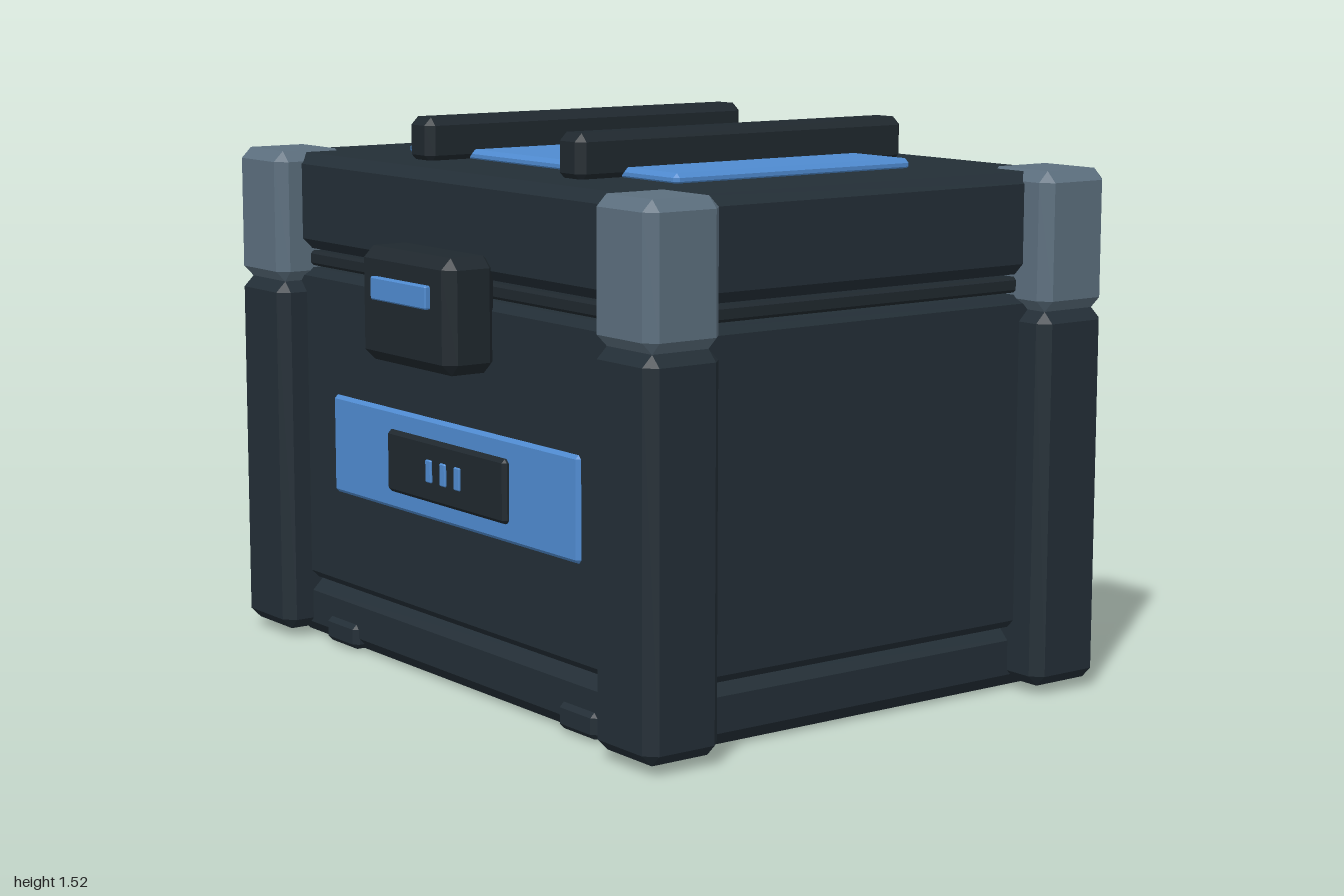
import * as THREE from 'three';
import { ConvexGeometry } from 'three/addons/geometries/ConvexGeometry.js';

const mat = (name, color) => {
  const m = new THREE.MeshStandardMaterial({ color });
  m.name = name;
  return m;
};

// Box with every edge cut at 45 degrees, given by its limits on each axis
function chamferBox([x0, x1], [y0, y1], [z0, z1], c) {
  const half = [(x1 - x0) / 2, (y1 - y0) / 2, (z1 - z0) / 2];
  const points = [];
  for (const sx of [-1, 1]) for (const sy of [-1, 1]) for (const sz of [-1, 1]) {
    for (let face = 0; face < 3; face++) {
      const [x, y, z] = half.map((h, axis) => (axis === face ? h : h - c));
      points.push(new THREE.Vector3(sx * x, sy * y, sz * z));
    }
  }
  const geometry = new ConvexGeometry(points);
  geometry.translate((x0 + x1) / 2, (y0 + y1) / 2, (z0 + z1) / 2);
  return geometry;
}

export function createModel() {
  const group = new THREE.Group();
  group.name = 'storageCrate';

  const shell = mat('darkSlate', 0x232e36);
  const trim = mat('charcoal', 0x1f282e);
  const steel = mat('blueGrey', 0x5c6f7e);
  const blue = mat('blue', 0x4f8bd0);

  const add = (name, material, x, y, z, c) => {
    const mesh = new THREE.Mesh(chamferBox(x, y, z, c), material);
    mesh.name = name;
    group.add(mesh);
  };
  // Same part on the left and the right
  const addPair = (name, material, [a, b], y, z, c) => {
    add(name + 'Left', material, [a, b], y, z, c);
    add(name + 'Right', material, [-b, -a], y, z, c);
  };

  // Stacked shell: base, body, seam strip and lid, with thin gaps at the seam
  add('base', shell, [-0.885, 0.885], [0.005, 0.18], [-0.715, 0.632], 0.04);
  add('body', shell, [-0.905, 0.905], [0.178, 1.081], [-0.725, 0.635], 0.022);
  add('seamStrip', trim, [-0.89, 0.89], [1.087, 1.129], [-0.71, 0.62], 0.008);
  add('lid', shell, [-0.915, 0.915], [1.136, 1.408], [-0.735, 0.645], 0.03);

  // Corner posts and lid corner guards
  for (const [side, z] of [['front', [0.488, 0.718]], ['back', [-0.8, -0.57]]]) {
    addPair(side + 'Post', shell, [0.755, 1], [0.028, 1.042], z, 0.03);
    addPair(side + 'CornerGuard', steel, [0.755, 1], [1.042, 1.414], z, 0.03);
  }

  // Small feet at the lower front and back edges
  addPair('frontFoot', shell, [0.5, 0.665], [0.012, 0.085], [0.56, 0.645], 0.015);
  addPair('backFoot', shell, [0.5, 0.665], [0.012, 0.085], [-0.73, -0.64], 0.015);

  // Lid plate and the rails across it
  add('lidPlate', blue, [-0.635, 0.635], [1.4, 1.434], [-0.422, 0.365], 0.012);
  addPair('lidRail', trim, [0.303, 0.413], [1.4, 1.526], [-0.59, 0.505], 0.022);

  // Front latch
  add('latch', trim, [-0.22, 0.22], [0.898, 1.205], [0.625, 0.784], 0.03);
  add('latchPlate', blue, [-0.136, 0.136], [1.068, 1.13], [0.77, 0.8], 0.004);

  // Front panel with a lock and three markers
  add('frontPanel', blue, [-0.6, 0.6], [0.458, 0.737], [0.62, 0.646], 0.01);
  add('lockPlate', trim, [-0.29, 0.29], [0.51, 0.682], [0.63, 0.662], 0.01);
  for (const x of [-0.07, 0, 0.07]) {
    add('lockMarker', blue, [x - 0.014, x + 0.014], [0.567, 0.629], [0.652, 0.668], 0.003);
  }

  // Rear hinges
  addPair('hinge', steel, [0.412, 0.608], [1.072, 1.15], [-0.768, -0.69], 0.018);

  return group;
}
